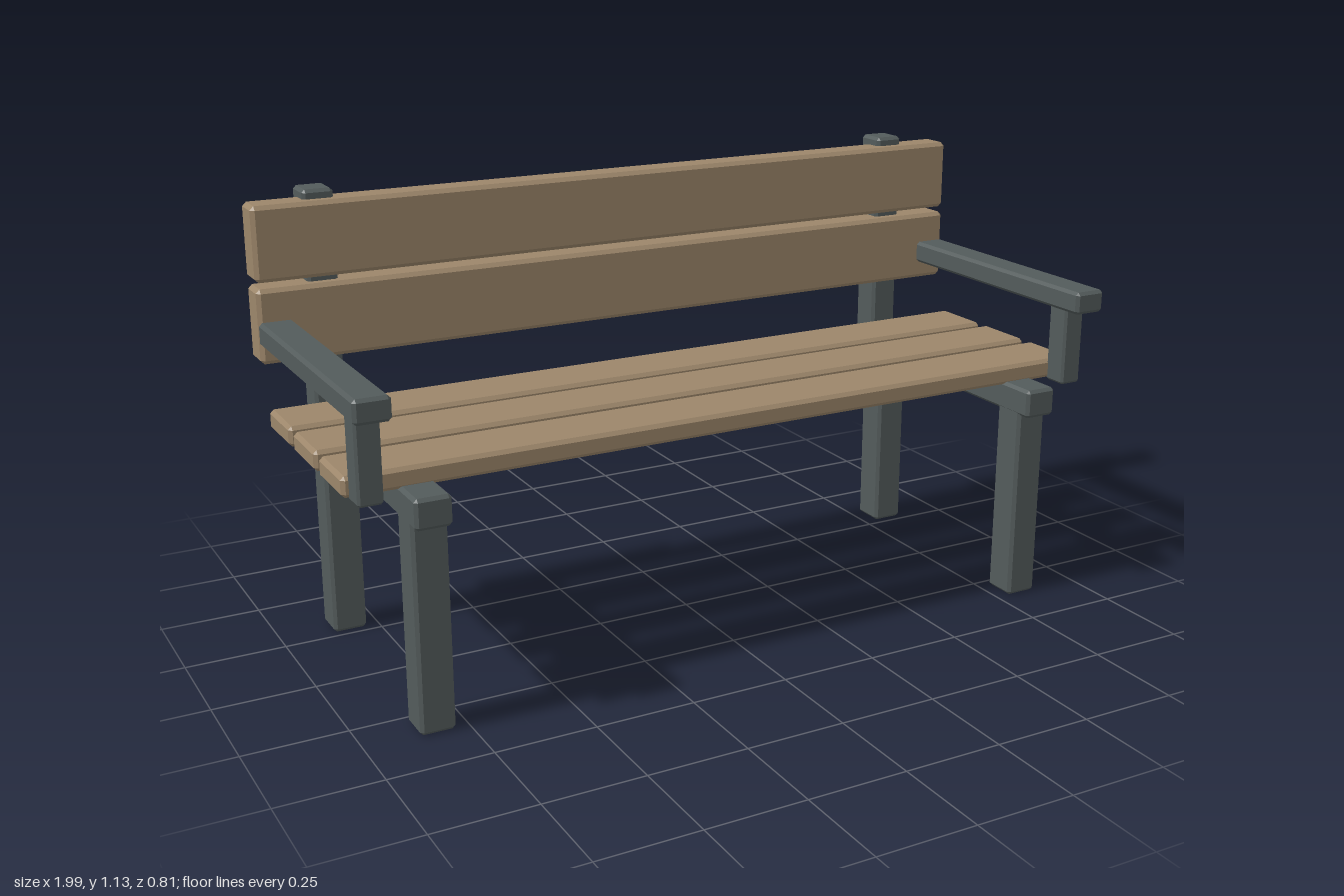
import * as THREE from 'three';
import { ConvexGeometry } from 'three/addons/geometries/ConvexGeometry.js';

// Box with every edge chamfered by b, given by its min and max on each axis
function chamferBox([x0, x1], [y0, y1], [z0, z1], b) {
  const h = [(x1 - x0) / 2, (y1 - y0) / 2, (z1 - z0) / 2];
  const points = [];
  for (const sx of [-1, 1]) for (const sy of [-1, 1]) for (const sz of [-1, 1]) {
    for (let axis = 0; axis < 3; axis++) {
      const [x, y, z] = h.map((v, i) => (i === axis ? v : v - b));
      points.push(new THREE.Vector3(x * sx, y * sy, z * sz));
    }
  }
  const geometry = new ConvexGeometry(points);
  geometry.translate((x0 + x1) / 2, (y0 + y1) / 2, (z0 + z1) / 2);
  return geometry;
}

export function createModel() {
  const bench = new THREE.Group();
  bench.name = 'bench';

  const wood = new THREE.MeshStandardMaterial({ color: 0x9c866a });
  wood.name = 'wood';
  const metal = new THREE.MeshStandardMaterial({ color: 0x535b5b });
  metal.name = 'darkMetal';

  const add = (name, material, x, y, z, b = 0.008) => {
    const mesh = new THREE.Mesh(chamferBox(x, y, z, b), material);
    mesh.name = name;
    bench.add(mesh);
  };

  // Seat planks, front to back
  [0.295, 0.101, -0.093].forEach((front, i) =>
    add(`seatPlank${i + 1}`, wood, [-0.997, 0.997], [0.57, 0.62], [front - 0.164, front], 0.009));

  // Backrest planks
  [0.718, 0.918].forEach((bottom, i) =>
    add(`backPlank${i + 1}`, wood, [-0.997, 0.997], [bottom, bottom + 0.185], [-0.376, -0.292], 0.01));

  // Frame on each side
  for (const [side, s] of [['left', 1], ['right', -1]]) {
    const span = (inner, outer) => (s > 0 ? [inner, outer] : [-outer, -inner]);
    add(`${side}FrontLeg`, metal, span(0.783, 0.868), [0, 0.56], [0.269, 0.358]);
    add(`${side}BackLeg`, metal, span(0.783, 0.868), [0, 0.56], [-0.358, -0.267]);
    add(`${side}SeatBeam`, metal, span(0.782, 0.869), [0.503, 0.577], [-0.33, 0.391]);
    add(`${side}BackPost`, metal, span(0.786, 0.863), [0.503, 1.126], [-0.406, -0.322]);
    add(`${side}ArmPost`, metal, span(0.922, 0.981), [0.565, 0.775], [0.287, 0.353], 0.006);
    add(`${side}Armrest`, metal, span(0.911, 0.997), [0.765, 0.823], [-0.3, 0.406]);
  }

  return bench;
}
